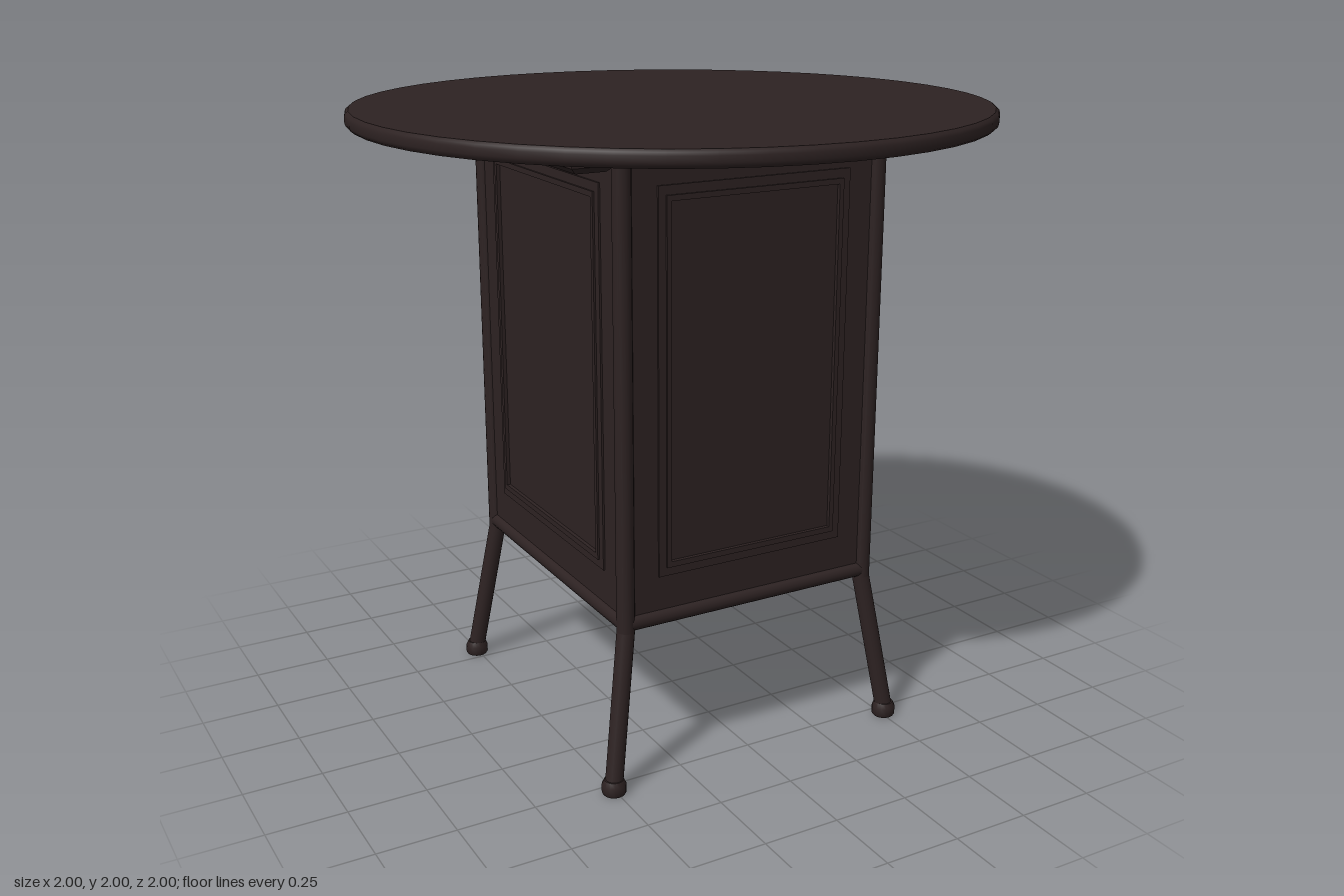
import * as THREE from 'three';
import { RoundedBoxGeometry } from 'three/addons/geometries/RoundedBoxGeometry.js';
import { toCreasedNormals } from 'three/addons/utils/BufferGeometryUtils.js';

const PX = 0.432, PZ = 0.487, R = 0.028; // post centres and radius
const FLOOR = 0.5, TOP = 1.95;           // cabinet base and underside of the tabletop

export function createModel() {
  const group = new THREE.Group();
  const wood = new THREE.MeshStandardMaterial({ color: 0x2d2222 });
  wood.name = 'dark wood';

  const add = (name, geometry, x = 0, y = 0, z = 0, parent = group) => {
    const mesh = new THREE.Mesh(geometry, wood);
    mesh.name = name;
    mesh.position.set(x, y, z);
    parent.add(mesh);
    return mesh;
  };

  // Round bar between two points
  const bar = (name, a, b, r0, r1 = r0) => {
    const dir = b.clone().sub(a);
    const mesh = add(name, new THREE.CylinderGeometry(r1, r0, dir.length(), 16));
    mesh.position.copy(a).add(b).multiplyScalar(0.5);
    mesh.quaternion.setFromUnitVectors(new THREE.Vector3(0, 1, 0), dir.normalize());
  };
  const v = (x, y, z) => new THREE.Vector3(x, y, z);

  // Round tabletop with a softened edge
  const edge = [[0, 1.95], [0.988, 1.95], [0.997, 1.957], [1, 1.966], [1, 1.984], [0.997, 1.993], [0.988, 2], [0, 2]];
  add('tabletop', toCreasedNormals(
    new THREE.LatheGeometry(edge.map(([x, y]) => new THREE.Vector2(x, y)), 48), 0.6));

  // Closed cabinet body
  add('cabinet', new THREE.BoxGeometry(2 * (PX + 0.01), TOP - FLOOR - 0.01, 2 * (PZ + 0.01)),
    0, (TOP + FLOOR + 0.01) / 2, 0);

  // Rectangular ring, used for the panel mouldings
  const rect = (path, w, y0, y1) => {
    path.moveTo(-w, y0); path.lineTo(w, y0); path.lineTo(w, y1); path.lineTo(-w, y1); path.closePath();
    return path;
  };
  const ring = (outer, inner, depth) => {
    const shape = rect(new THREE.Shape(), ...outer);
    shape.holes.push(rect(new THREE.Path(), ...inner));
    return new THREE.ExtrudeGeometry(shape, { depth, bevelEnabled: false });
  };

  // Stepped moulding on each of the four faces
  for (let i = 0; i < 4; i++) {
    const side = i % 2 === 1;
    const w = side ? 0.375 : 0.325;
    const face = new THREE.Group();
    face.name = 'panelMoulding';
    face.rotation.y = i * Math.PI / 2;
    group.add(face);
    const d = (side ? PX : PZ) + 0.01;
    add('outerMoulding', ring([w, 0.66, 1.84], [w - 0.025, 0.687, 1.812], 0.006), 0, 0, d, face);
    add('innerMoulding', ring([w - 0.025, 0.687, 1.812], [w - 0.04, 0.705, 1.795], 0.012), 0, 0, d, face);
  }

  // Base rails
  for (const s of [-1, 1]) {
    bar('baseRail', v(-PX, FLOOR + 0.026, s * PZ), v(PX, FLOOR + 0.026, s * PZ), 0.026);
    bar('baseRail', v(s * PX, FLOOR + 0.026, -PZ), v(s * PX, FLOOR + 0.026, PZ), 0.026);
  }

  // Corner posts, splayed legs, feet and top plates
  for (const sx of [-1, 1]) for (const sz of [-1, 1]) {
    bar('cornerPost', v(sx * PX, FLOOR, sz * PZ), v(sx * PX, TOP, sz * PZ), R);
    add('legJoint', new THREE.SphereGeometry(R, 16, 10), sx * PX, FLOOR, sz * PZ);
    bar('leg', v(sx * 0.506, 0.03, sz * 0.543), v(sx * PX, FLOOR, sz * PZ), R);
    const foot = [[0, 0], [0.034, 0], [0.038, 0.006], [0.038, 0.032], [0.03, 0.048], [0, 0.048]];
    add('foot', toCreasedNormals(new THREE.LatheGeometry(
      foot.map(([x, y]) => new THREE.Vector2(x, y)), 16), 0.6), sx * 0.506, 0, sz * 0.543);
    add('topPlate', new RoundedBoxGeometry(0.075, 0.012, 0.17, 2, 0.004), sx * 0.432, 1.945, sz * 0.508);
  }

  // Battens under the tabletop, bevelled on the lower edges
  const batten = new THREE.Shape();
  const bw = 0.046, bl = 0.545;
  batten.moveTo(-bw, -bl); batten.lineTo(bw, -bl); batten.lineTo(bw, bl); batten.lineTo(-bw, bl);
  batten.closePath();
  const battenGeo = new THREE.ExtrudeGeometry(batten,
    { depth: 0.025, bevelThickness: 0.018, bevelSize: 0.02, bevelSegments: 1 });
  battenGeo.rotateX(Math.PI / 2);
  for (const s of [-1, 1]) add('batten', battenGeo, s * 0.553, 1.943, 0);

  return group;
}
